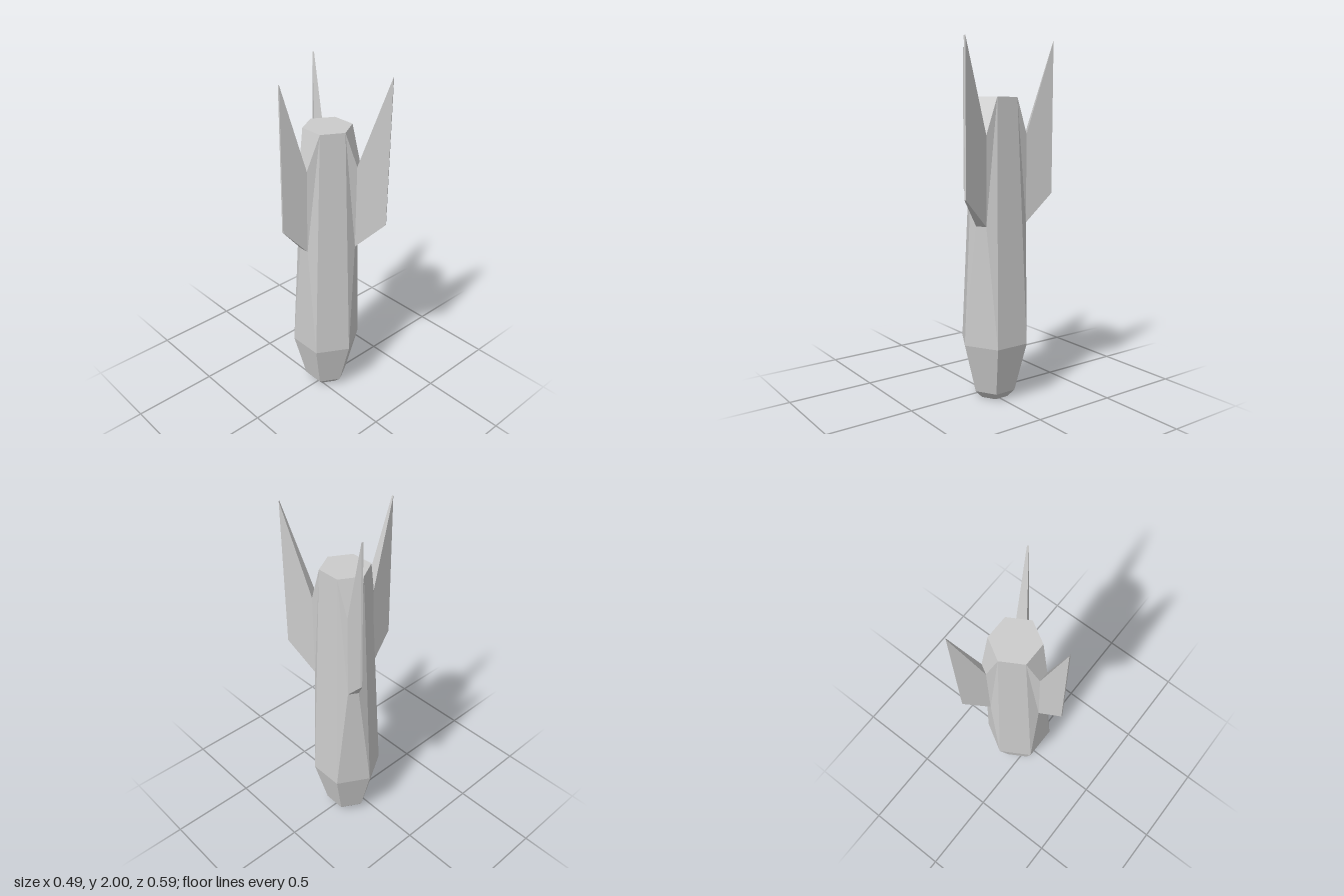
import * as THREE from 'three';

const CENTRE = { x: 0.069, z: -0.0115 };
const material = new THREE.MeshStandardMaterial({ color: 0xcccccc, flatShading: true });

// Skins a list of rings and caps both ends; rings run counter-clockwise seen from the last one.
// Points may coincide, so triangles without area are left out.
function loft(rings, name) {
  const pos = [];
  const tri = (...pts) => {
    const [a, b, c] = pts.map((p) => new THREE.Vector3(...p));
    if (new THREE.Triangle(a, b, c).getArea() > 1e-7) pos.push(...pts.flat());
  };
  const n = rings[0].length;
  for (let r = 0; r + 1 < rings.length; r++) {
    const a = rings[r], b = rings[r + 1];
    for (let i = 0; i < n; i++) {
      const j = (i + 1) % n;
      tri(a[i], a[j], b[j]);
      tri(a[i], b[j], b[i]);
    }
  }
  const first = rings[0], last = rings[rings.length - 1];
  for (let i = 1; i < n - 1; i++) {
    tri(first[0], first[i + 1], first[i]);
    tri(last[0], last[i], last[i + 1]);
  }
  const geometry = new THREE.BufferGeometry();
  geometry.setAttribute('position', new THREE.Float32BufferAttribute(pos, 3));
  geometry.computeVertexNormals();
  const mesh = new THREE.Mesh(geometry, material);
  mesh.name = name;
  return mesh;
}

// Point at a distance out along a fin direction, shifted sideways from its middle
function finSidePoint(angle, out, side, y) {
  const c = Math.cos(angle), s = Math.sin(angle);
  return [CENTRE.x + c * out - s * side, y, CENTRE.z + s * out + c * side];
}

// Each fin: its direction and the x, z and top height of its outer edge
const FINS = [
  { name: 'frontLeftFin', angle: Math.PI / 3, x: 0.228, z: 0.291, top: 2 },
  { name: 'rightFin', angle: Math.PI, x: -0.245, z: -0.0225, top: 1.987 },
  { name: 'backLeftFin', angle: (5 * Math.PI) / 3, x: 0.224, z: -0.295, top: 2 },
];

// Levels of the hull: height, distance out and half width of the fin side
const BOTTOM = [0, 0.073, 0.0425];
const NOSE = [0.045, 0.111, 0.064];
const SHOULDER = [0.33, 0.1745, 0.1008];
const TOP = [1.7, 0.117, 0.0675];
const ROOT_LOW = [1.01, 0.1745, 0.03];
const ROOT_HIGH = [1.5, 0.1745, 0.03];

// Hull rings as [corner level, fin root level]: the six corner edges run straight
// from shoulder to top while a narrow ridge rises out of every second side
const HULL = [
  [BOTTOM, BOTTOM],
  [NOSE, NOSE],
  [SHOULDER, SHOULDER],
  [SHOULDER, ROOT_LOW],
  [TOP, ROOT_LOW],
  [TOP, ROOT_HIGH],
  [TOP, TOP],
];

export function createModel() {
  const model = new THREE.Group();
  model.name = 'finnedBomb';

  // Hull
  const rings = HULL.map(([corner, root]) =>
    FINS.flatMap(({ angle }) =>
      [[corner, -1], [root, -1], [root, 1], [corner, 1]].map(([[y, out, half], sign]) =>
        finSidePoint(angle, out, sign * half, y))).reverse());
  model.add(loft(rings, 'hull'));

  // Tapering swept fins
  for (const { name, angle, x, z, top } of FINS) {
    const root = [[-0.03, 1.01], [-0.03, 1.5], [0.03, 1.5], [0.03, 1.01]]
      .map(([side, y]) => finSidePoint(angle, 0.1745, side, y));
    const tip = [[-0.0045, 1.17], [-0.0045, top], [0.0045, top], [0.0045, 1.17]]
      .map(([side, y]) => [x - Math.sin(angle) * side, y, z + Math.cos(angle) * side]);
    model.add(loft([root, tip], name));
  }
  return model;
}
